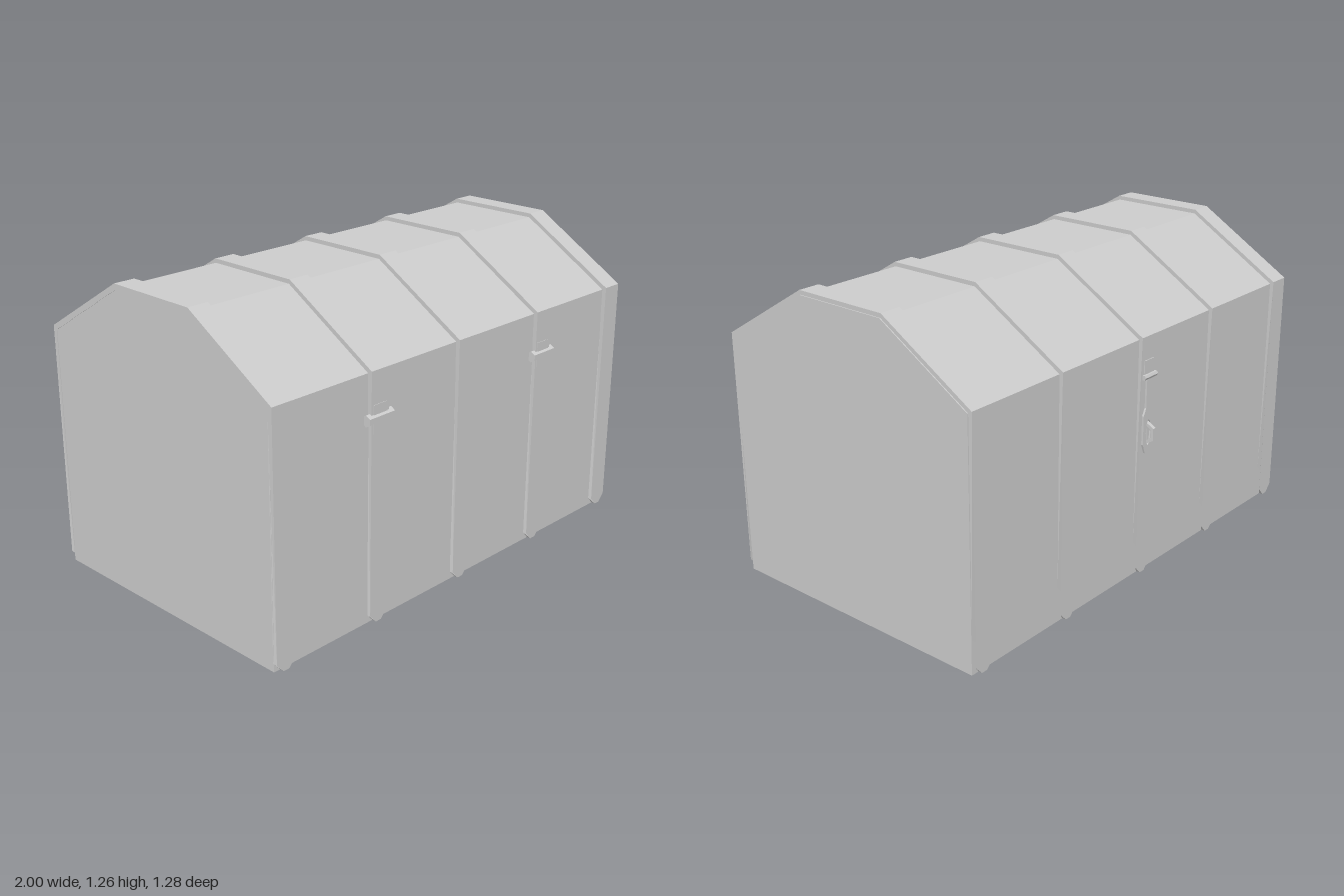
import * as THREE from 'three';

const mat = new THREE.MeshStandardMaterial({ color: 0xcccccc, flatShading: true });

function add(parent, name, geometry, x = 0, y = 0, z = 0) {
  const mesh = new THREE.Mesh(geometry, mat);
  mesh.name = name;
  mesh.position.set(x, y, z);
  parent.add(mesh);
  return mesh;
}

// Extrude a [z, y] outline along x, centred on x = 0
function extrudeAcross(points, width, hole) {
  const shape = new THREE.Shape(points.map(p => new THREE.Vector2(...p)));
  if (hole) shape.holes.push(new THREE.Path(hole.map(p => new THREE.Vector2(...p))));
  const g = new THREE.ExtrudeGeometry(shape, { depth: width, bevelEnabled: false });
  g.translate(0, 0, -width / 2);
  g.rotateY(-Math.PI / 2);
  return g;
}

// Strap wrapping front, roof and back, with tapered feet
function strapGeometry() {
  const outer = [[0.63, 0], [0.63, 0.035], [0.63, 1.01], [0.218, 1.26],
    [-0.195, 1.26], [-0.606, 1.01], [-0.606, 0.035], [-0.606, 0]];
  const inner = [[-0.588, 0], [-0.588, 0.035], [-0.588, 0.995], [-0.19, 1.237],
    [0.213, 1.237], [0.61, 0.995], [0.61, 0.035], [0.61, 0]];
  const g = extrudeAcross([...outer, ...inner], 0.09);
  const p = g.attributes.position;
  for (let i = 0; i < p.count; i++) {
    if (p.getY(i) < 0.01) p.setX(i, p.getX(i) * 0.3);
  }
  g.computeVertexNormals();
  return g;
}

export function createModel() {
  const chest = new THREE.Group();
  chest.name = 'chest';
  const front = 0.612, back = -0.59, floor = 0.07;

  // Solid body and faceted lid above the recessed floor
  add(chest, 'body', extrudeAcross([[front, floor], [front, 1.0], [0.214, 1.243],
    [-0.192, 1.243], [back, 1.0], [back, floor]], 1.996));

  // Thin skirt around the recessed floor
  const mid = (front + back) / 2, depth = front - back, t = 0.008;
  for (const s of [-1, 1]) {
    add(chest, 'endSkirt', new THREE.BoxGeometry(t, floor, depth), s * (0.998 - t / 2), floor / 2, mid);
    add(chest, 'longSkirt', new THREE.BoxGeometry(1.98, floor, t), 0, floor / 2,
      mid + s * (depth - t) / 2);
  }

  // Five straps
  const strap = strapGeometry();
  for (const x of [-0.955, -0.48, -0.003, 0.475, 0.949]) add(chest, 'strap', strap, x);

  // Two hinges: six-sided barrel with a thin leaf
  const barrel = new THREE.CylinderGeometry(0.023, 0.023, 0.13, 6);
  barrel.rotateZ(Math.PI / 2);
  barrel.rotateX(Math.PI / 2);
  for (const x of [-0.48, 0.475]) {
    const hinge = new THREE.Group();
    hinge.name = 'hinge';
    hinge.position.set(x, 0.826, 0.622);
    add(hinge, 'hingeBarrel', barrel);
    add(hinge, 'hingeLeaf', new THREE.BoxGeometry(0.07, 0.11, 0.006), 0, 0, 0.007);
    chest.add(hinge);
  }

  // Latch: upper leaf, pivot, slotted hasp and staple
  const latch = new THREE.Group();
  latch.name = 'latch';
  latch.position.x = -0.003;
  chest.add(latch);
  add(latch, 'latchLeaf', new THREE.BoxGeometry(0.06, 0.06, 0.005), 0, 0.885, -0.607);
  const pivot = new THREE.CylinderGeometry(0.011, 0.011, 0.08, 6);
  pivot.rotateZ(Math.PI / 2);
  add(latch, 'latchPivot', pivot, 0, 0.85, -0.612);

  const hasp = new THREE.Shape();
  hasp.moveTo(-0.018, 0.85);
  hasp.lineTo(-0.018, 0.72);
  hasp.lineTo(-0.033, 0.69);
  hasp.lineTo(-0.033, 0.57);
  hasp.lineTo(-0.018, 0.53);
  hasp.lineTo(0.018, 0.53);
  hasp.lineTo(0.033, 0.57);
  hasp.lineTo(0.033, 0.69);
  hasp.lineTo(0.018, 0.72);
  hasp.lineTo(0.018, 0.85);
  const slot = new THREE.Path();
  slot.absellipse(0, 0.615, 0.016, 0.055, 0, Math.PI * 2, true);
  hasp.holes.push(slot);
  add(latch, 'hasp', new THREE.ExtrudeGeometry(hasp,
    { depth: 0.009, bevelEnabled: false, curveSegments: 4 }), 0, 0, -0.614);

  add(latch, 'staple', extrudeAcross(
    [[-0.604, 0.565], [-0.604, 0.66], [-0.643, 0.638], [-0.643, 0.587]], 0.016,
    [[-0.612, 0.583], [-0.612, 0.642], [-0.632, 0.63], [-0.632, 0.596]]));

  return chest;
}
